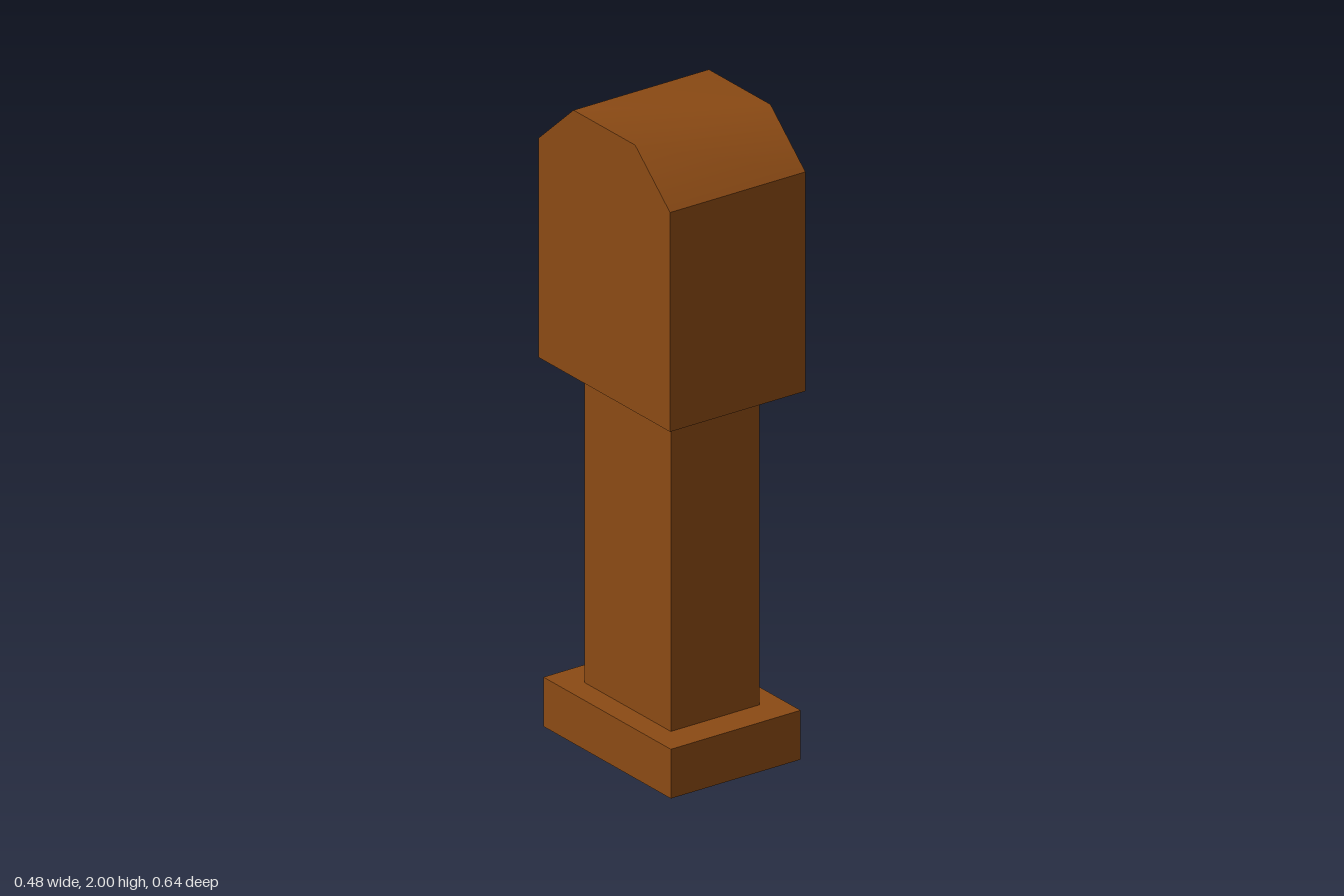
import * as THREE from 'three';
import { mergeGeometries } from 'three/addons/utils/BufferGeometryUtils.js';

const mat = (name, color) => new THREE.MeshStandardMaterial({ name, color });

// Wall strip along a counter-clockwise path, from depth w0 to w1 (swap them to face inward)
function walls(path, w0, w1, smooth = false) {
  const pos = [], index = [];
  for (const [u, v] of path) pos.push(u, v, w0, u, v, w1);
  for (let i = 0; i < path.length - 1; i++) {
    const a = i * 2;
    index.push(a, a + 2, a + 3, a, a + 3, a + 1);
  }
  let g = new THREE.BufferGeometry();
  g.setAttribute('position', new THREE.Float32BufferAttribute(pos, 3));
  g.setIndex(index);
  if (!smooth) g = g.toNonIndexed();
  g.computeVertexNormals();
  return g.index ? g.toNonIndexed() : g;
}

// Flat panel at depth w, with an optional hole
function panel(outline, w, hole) {
  const toPoints = (list) => list.map(([u, v]) => new THREE.Vector2(u, v));
  const shape = new THREE.Shape(toPoints(outline));
  if (hole) shape.holes.push(new THREE.Path(toPoints(hole)));
  const g = new THREE.ShapeGeometry(shape).toNonIndexed();
  g.deleteAttribute('uv');
  return g.translate(0, 0, w);
}

const backPanel = (outline, w) => panel(outline, 0).rotateY(Math.PI)
  .translate(0, 0, -w); // outlines are symmetric, so a half turn works

const close = (path) => [...path, path[0]];

function part(name, pieces, material) {
  const g = mergeGeometries(pieces).rotateY(Math.PI / 2); // dial side to +x
  const mesh = new THREE.Mesh(g, material);
  mesh.name = name;
  return mesh;
}

export function createModel() {
  const wood = mat('brown wood', 0x8b4a14);
  const white = mat('white dial', 0xffffff);
  const gold = mat('gold', 0xfbd42a);
  const group = new THREE.Group();
  group.name = 'longcaseClock';

  // Plinth
  const plinth = new THREE.Mesh(new THREE.BoxGeometry(0.46, 0.155, 0.62), wood);
  plinth.position.y = 0.0775;
  plinth.name = 'plinth';
  group.add(plinth);

  // Trunk with a sunken, slightly clipped pendulum slot
  const trunk = [[-0.21, 0.155], [0.21, 0.155], [0.21, 1.16], [-0.21, 1.16]];
  const s = 0.073, c = 0.01, lo = 0.275, hi = 1.045;
  const slot = [
    [-s + c, lo], [s - c, lo], [s, lo + c], [s, hi - c],
    [s - c, hi], [-s + c, hi], [-s, hi - c], [-s, lo + c],
  ];
  const tw = 0.157;
  group.add(
    part('trunk', [walls(close(trunk), -tw, tw), panel(trunk, tw, slot), backPanel(trunk, tw)], wood),
    part('pendulumSlot', [walls(close(slot), tw, tw - 0.05), panel(slot, tw - 0.05)], gold),
  );

  // Hood with a smooth-shaded canted roof and a sunken dial
  const roof = [[0.32, 1.85], [0.15, 2], [-0.15, 2], [-0.32, 1.85]];
  const sides = [[-0.32, 1.85], [-0.32, 1.16], [0.32, 1.16], [0.32, 1.85]];
  const hood = [...sides, roof[1], roof[2]];
  const dial = [[-0.228, 1.31], [0.228, 1.31], [0.217, 1.847], [-0.217, 1.847]];
  const hw = 0.24;
  group.add(
    part('hood', [walls(sides, -hw, hw), panel(hood, hw, dial), backPanel(hood, hw)], wood),
    part('roof', [walls(roof, -hw, hw, true)], wood),
    part('dial', [walls(close(dial), hw, hw - 0.06), panel(dial, hw - 0.06)], white),
  );
  return group;
}
